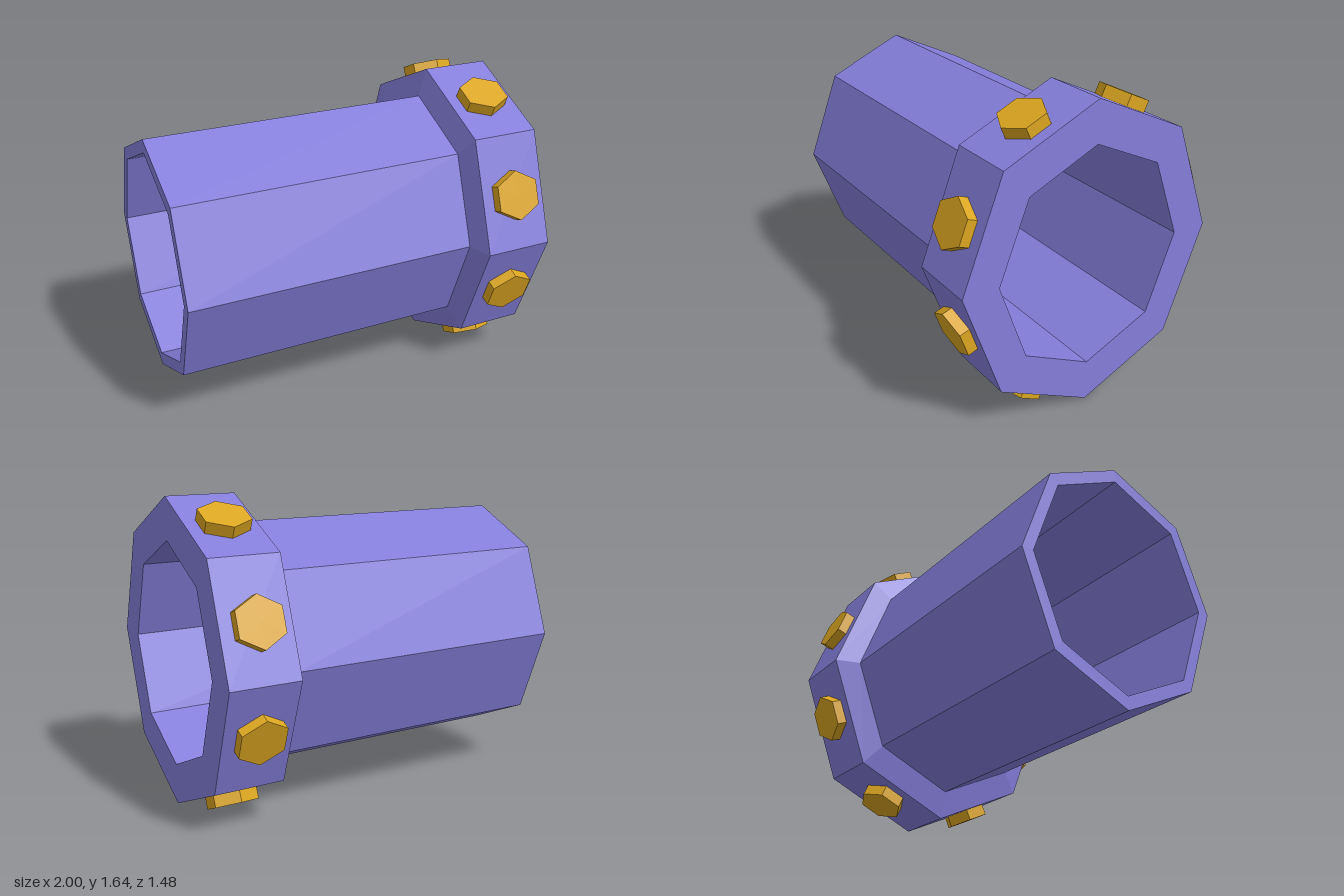
import * as THREE from 'three';

const CENTRE_Y = 0.82;

export function createModel() {
  const model = new THREE.Group();
  model.name = 'flangedPipe';
  const purple = new THREE.MeshStandardMaterial({ color: 0x847dda, flatShading: true });
  const gold = new THREE.MeshStandardMaterial({ color: 0xdaa520, flatShading: true });

  // Octagonal pipe with collar: closed profile (radius, position along the axis)
  const profile = [
    [0.67, -1], [0.67, 0.585], [0.82, 0.625], [0.82, 1],
    [0.597, 1], [0.597, -1], [0.67, -1],
  ].map(([r, t]) => new THREE.Vector2(r, t));
  const pipeGeometry = new THREE.LatheGeometry(profile, 8)
    .rotateZ(-Math.PI / 2)
    .scale(1, 1, 0.9);
  const pipe = new THREE.Mesh(pipeGeometry, purple);
  pipe.name = 'pipeAndCollar';
  pipe.position.y = CENTRE_Y;
  model.add(pipe);

  // Hexagonal bolt heads, one on each collar face, mirrored in y and z
  const SUNK = 0.02;
  const boltTypes = [
    { name: 'Steep', z: 0.302, y: 0.75, angle: 0.433, height: 0.063, reach: 0.123 },
    { name: 'Side', z: 0.687, y: 0.295, angle: 1.213, height: 0.058, reach: 0.133 },
  ];
  for (const b of boltTypes) {
    const length = b.height + SUNK;
    // Top of the head lies at the local origin
    const geometry = new THREE.CylinderGeometry(1, 1, 1, 6)
      .translate(0, -0.5, 0)
      .scale(0.139, length, b.reach);
    for (const sy of [1, -1]) {
      for (const sz of [1, -1]) {
        const bolt = new THREE.Mesh(geometry, gold);
        bolt.name = `bolt${b.name}${sy > 0 ? 'Upper' : 'Lower'}${sz > 0 ? 'Front' : 'Back'}`;
        bolt.position.set(0.81, CENTRE_Y + sy * b.y, sz * b.z);
        bolt.rotation.x = sz * (sy > 0 ? b.angle : Math.PI - b.angle);
        model.add(bolt);
      }
    }
  }
  return model;
}
